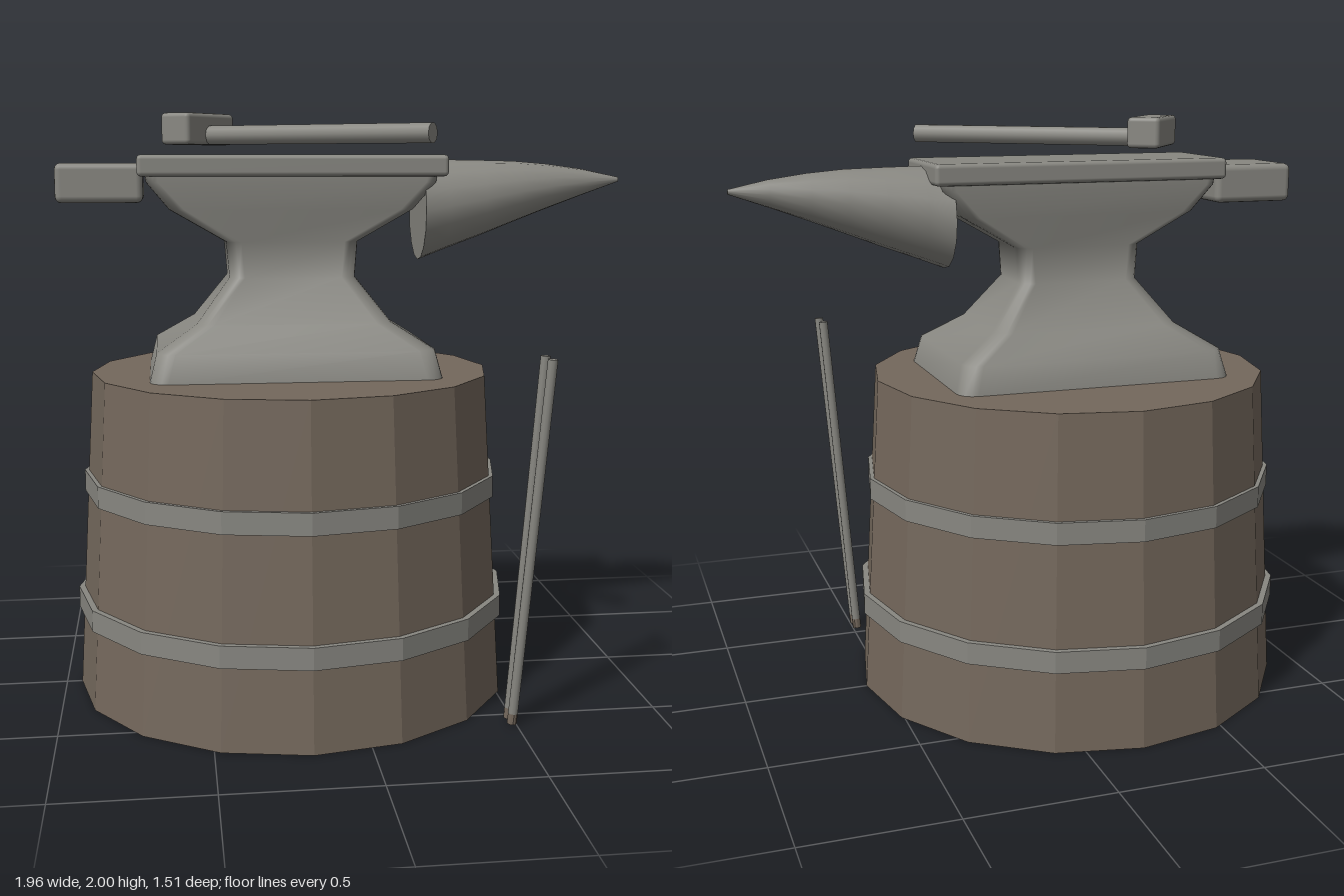
import * as THREE from 'three';
import { RoundedBoxGeometry } from 'three/addons/geometries/RoundedBoxGeometry.js';

const CX = -0.19; // axis shared by barrel and anvil body

// Skin a list of equal-length closed loops; loops run anticlockwise seen from the end they advance to.
function loft(loops) {
  const n = loops[0].length, pos = [], index = [];
  loops.forEach(loop => loop.forEach(p => pos.push(...p)));
  for (let i = 0; i < loops.length - 1; i++) {
    for (let j = 0; j < n; j++) {
      const a = i * n + j, b = i * n + (j + 1) % n;
      index.push(a, b, b + n, a, b + n, a + n);
    }
  }
  // end caps with their own vertices so their rims stay crisp
  [loops[0], loops[loops.length - 1]].forEach((loop, end) => {
    const start = pos.length / 3;
    loop.forEach(p => pos.push(...p));
    for (let j = 1; j < n - 1; j++) {
      if (end) index.push(start, start + j, start + j + 1);
      else index.push(start, start + j + 1, start + j);
    }
  });
  const g = new THREE.BufferGeometry();
  g.setAttribute('position', new THREE.Float32BufferAttribute(pos, 3));
  g.setIndex(index);
  g.computeVertexNormals();
  return g;
}

// Horizontal rounded rectangle at height y
function roundedRect(y, hx, hz, r) {
  const loop = [], steps = 4;
  [[1, 1], [-1, 1], [-1, -1], [1, -1]].forEach(([sx, sz], q) => {
    for (let k = 0; k <= steps; k++) {
      const a = (q + k / steps) * Math.PI / 2;
      loop.push([CX + sx * (hx - r) + r * Math.cos(a), y, sz * (hz - r) + r * Math.sin(a)]);
    }
  });
  return loop.reverse();
}

export function createModel() {
  const model = new THREE.Group();
  const mat = (name, color, flatShading = false) => {
    const m = new THREE.MeshStandardMaterial({ color, flatShading });
    m.name = name;
    return m;
  };
  const iron = mat('iron', 0x888781);
  const wood = mat('wood', 0x74685c, true);

  const add = (name, geometry, material, x = 0, y = 0, z = 0, parent = model) => {
    const mesh = new THREE.Mesh(geometry, material);
    mesh.name = name;
    mesh.position.set(x, y, z);
    parent.add(mesh);
    return mesh;
  };
  // Cylinder between two points
  const rod = (name, a, b, r, material, parent = model) => {
    const from = new THREE.Vector3(...a), to = new THREE.Vector3(...b);
    const mesh = add(name, new THREE.CylinderGeometry(r, r, from.distanceTo(to), 10), material, 0, 0, 0, parent);
    mesh.position.copy(from).lerp(to, 0.5);
    mesh.quaternion.setFromUnitVectors(new THREE.Vector3(0, 1, 0), to.clone().sub(from).normalize());
    return mesh;
  };

  // Barrel and its two hoops
  add('barrel', new THREE.CylinderGeometry(0.69, 0.757, 1.12, 16), wood, CX, 0.56, 0);
  [[0.315, 0.757], [0.737, 0.725]].forEach(([y, r]) => {
    const hoop = new THREE.CylinderGeometry(r, r, 0.074, 16).toNonIndexed();
    hoop.computeVertexNormals();
    add('hoop', hoop, iron, CX, y, 0);
  });

  // Anvil body: height, half width, half depth, corner radius
  const anvil = new THREE.Group();
  anvil.name = 'anvil';
  model.add(anvil);
  const sections = [
    [1.12, 0.49, 0.335, 0.06], [1.215, 0.466, 0.315, 0.06], [1.3, 0.33, 0.225, 0.055],
    [1.45, 0.215, 0.14, 0.05], [1.57, 0.225, 0.135, 0.05], [1.68, 0.415, 0.16, 0.05],
    [1.77, 0.49, 0.167, 0.04], [1.8, 0.495, 0.167, 0.04]
  ];
  add('anvilBody', loft(sections.map(s => roundedRect(...s))), iron, 0, 0, 0, anvil);

  // Anvil face plate and heel block
  add('anvilFace', new RoundedBoxGeometry(1.045, 0.072, 0.37, 2, 0.015), iron, -0.187, 1.826, 0, anvil);
  add('anvilHeel', new RoundedBoxGeometry(0.29, 0.132, 0.286, 2, 0.022), iron, -0.835, 1.769, -0.003, anvil);

  // Horn: circles shrinking and rising towards the tip
  const horn = [
    [0.26, 0.173, 1.672], [0.35, 0.156, 1.69], [0.48, 0.131, 1.713], [0.6, 0.106, 1.735],
    [0.72, 0.078, 1.753], [0.85, 0.045, 1.768], [0.98, 0.008, 1.777]
  ].map(([x, r, cy]) => Array.from({ length: 16 }, (_, i) => {
    const a = i / 16 * Math.PI * 2;
    return [x, cy + r * Math.cos(a), r * Math.sin(a)];
  }));
  add('anvilHorn', loft(horn), iron, 0, 0, 0, anvil);

  // Hammer resting over the face
  const hammer = new THREE.Group();
  hammer.name = 'hammer';
  model.add(hammer);
  const head = add('hammerHead', new RoundedBoxGeometry(0.115, 0.105, 0.275, 2, 0.015), iron, -0.502, 1.9475, -0.002, hammer);
  head.rotation.y = -Math.atan2(0.5, 0.67);
  rod('hammerHandle', [-0.46, 1.927, 0.035], [0.21, 1.927, 0.537], 0.033, iron, hammer);

  // Two leaning iron rods with brown tips
  [[0.59, 0.67], [0.54, 0.583]].forEach(([z0, z1]) => {
    const at = t => [0.485 + 0.088 * t, 0.005 + 1.225 * t, z0 + (z1 - z0) * t];
    rod('leaningRod', at(0.03), at(1), 0.016, iron);
    rod('rodTip', at(0), at(0.03), 0.016, wood);
  });

  return model;
}
